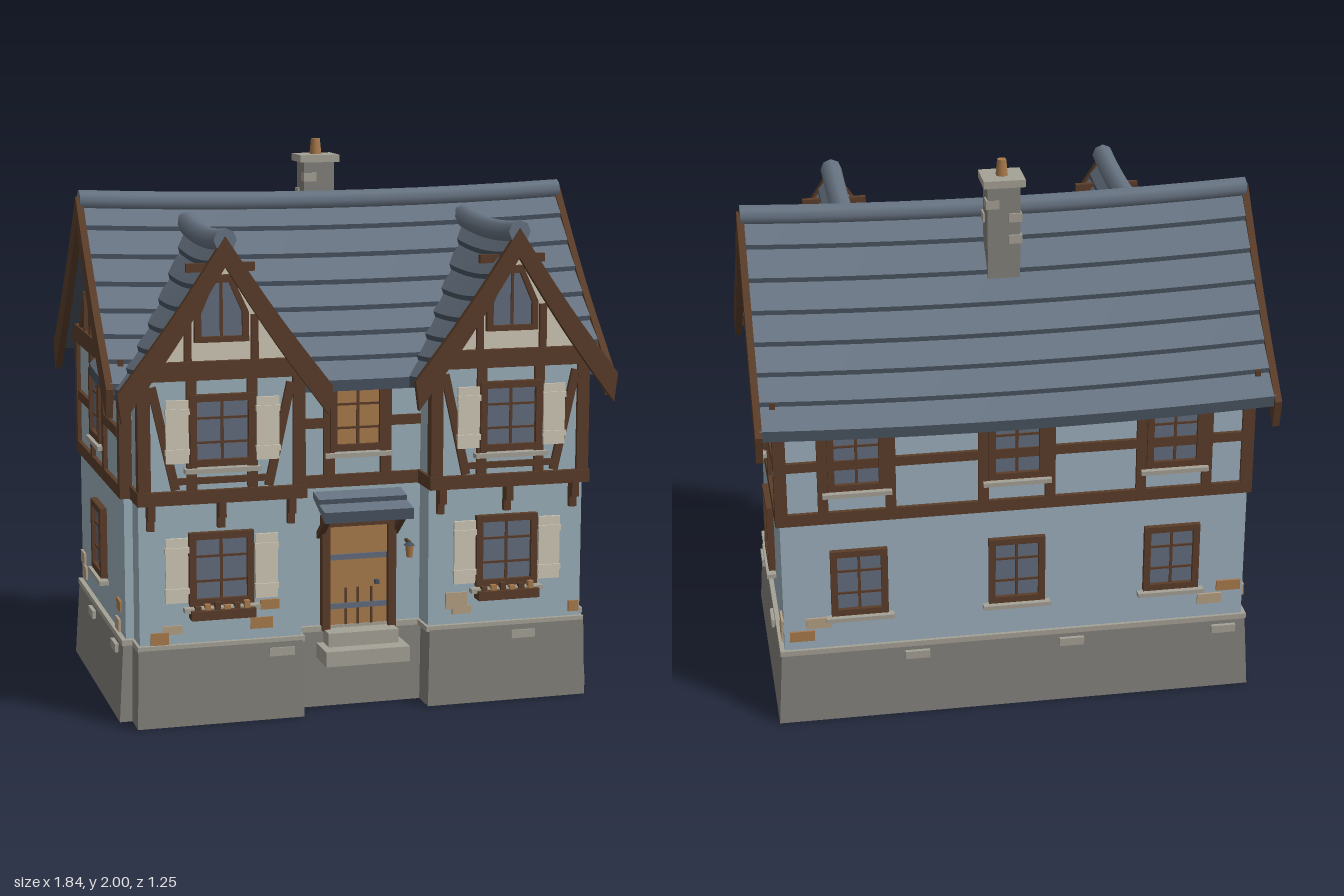
import * as THREE from 'three';

const mat = (name, color, side = THREE.FrontSide) => {
  const m = new THREE.MeshStandardMaterial({ color, side });
  m.name = name;
  return m;
};
const M = {
  wall: mat('paleBlueWall', 0x9bafbb), stone: mat('stone', 0x83817b, THREE.DoubleSide),
  paleStone: mat('paleStone', 0xa5a196), timber: mat('timber', 0x5a3d29),
  plaster: mat('creamPlaster', 0xcfc7b7), slate: mat('slate', 0x687483),
  darkSlate: mat('darkSlate', 0x47525f), glass: mat('glass', 0x626d7e),
  wood: mat('warmWood', 0xa87a4c), sand: mat('sandBrick', 0xb5a084),
};

function add(parent, name, geo, material, x = 0, y = 0, z = 0) {
  const m = new THREE.Mesh(geo, material);
  m.name = name;
  m.position.set(x, y, z);
  parent.add(m);
  return m;
}
// Box given by its extents
const box = (p, name, material, x0, x1, y0, y1, z0, z1) =>
  add(p, name, new THREE.BoxGeometry(x1 - x0, y1 - y0, z1 - z0), material, (x0 + x1) / 2, (y0 + y1) / 2, (z0 + z1) / 2);
// Slanted timber in a facade plane
function strut(p, xa, ya, xb, yb, w = 0.03, d = 0.014) {
  const s = add(p, 'brace', new THREE.BoxGeometry(w, Math.hypot(xb - xa, yb - ya), d), M.timber, (xa + xb) / 2, (ya + yb) / 2, d / 2);
  s.rotation.z = -Math.atan2(xb - xa, yb - ya);
}
// Group whose local +z looks out of a wall
function facade(p, name, x, z, turn) {
  const g = new THREE.Group();
  g.name = name;
  g.position.set(x, 0, z);
  g.rotation.y = turn;
  p.add(g);
  return g;
}
const bar = (p, x0, x1, y0, y1, d = 0.015) => box(p, 'timberBar', M.timber, x0, x1, y0, y1, 0, d);
const pair = (p, x0, x1, y0, y1, d) => { bar(p, x0, x1, y0, y1, d); bar(p, -x1, -x0, y0, y1, d); };

// Framed window, optionally with sill and shutters
function windowUnit(p, x, y, w, h, { glass = M.glass, sill = true, shutters = false } = {}) {
  const g = new THREE.Group();
  g.name = 'window';
  g.position.set(x, y, 0);
  p.add(g);
  const a = w / 2, b = h / 2, f = 0.024;
  box(g, 'pane', glass, -a + f, a - f, -b + f, b - f, 0.002, 0.009);
  pair(g, a - f, a, -b, b, 0.025);
  bar(g, -a, a, b - f, b, 0.025);
  bar(g, -a, a, -b, -b + f, 0.025);
  bar(g, -0.005, 0.005, -b + f, b - f, 0.014);
  for (const k of [-0.17, 0.17]) bar(g, -a + f, a - f, k * h - 0.004, k * h + 0.004, 0.014);
  if (sill) box(g, 'sill', M.paleStone, -a - 0.02, a + 0.02, -b - 0.022, -b - 0.006, 0, 0.034);
  if (shutters) for (const s of [-1, 1]) {
    const c = s * (a + 0.045);
    box(g, 'shutter', M.plaster, c - 0.04, c + 0.04, -b + 0.015, b - 0.015, 0.014, 0.024);
    for (const k of [-0.28, 0.28]) box(g, 'shutterBatten', M.plaster, c - 0.043, c + 0.043, k * h - 0.01, k * h + 0.01, 0.014, 0.03);
  }
}

// Concave roof section, t = 0 at ridge and 1 at eave
const sectionY = (r, t) => r.top - r.drop * t - r.sag * Math.sin(Math.PI * Math.min(t, 1));
// One slope of overlapping slate courses, bowed along its length
function slope(p, name, r, x, z, turn) {
  const g = facade(p, name, x, z, turn);
  for (let i = 0; i < r.courses; i++) {
    const geo = new THREE.BoxGeometry(r.len, 1, 1, 10, 1, 1), a = geo.attributes.position;
    for (let k = 0; k < a.count; k++) {
      const u = a.getX(k), low = a.getZ(k) > 0, t = (i + (low ? 1 : 0)) / r.courses;
      const lift = a.getY(k) > 0 ? (low ? 0.017 : 0) : -0.022;
      a.setXYZ(k, u, sectionY(r, t) + lift + r.bow * (2 * u / r.len) ** 2, t * r.run);
    }
    geo.computeVertexNormals();
    add(g, 'slateCourse', geo, [M.slate, M.slate, M.slate, M.darkSlate, M.darkSlate, M.slate]);
  }
}
// Rounded ridge capping
function ridge(p, r, radius, x, z, turn) {
  const geo = new THREE.CylinderGeometry(radius, radius, r.len + 0.01, 8, 10).rotateZ(Math.PI / 2);
  const a = geo.attributes.position;
  for (let k = 0; k < a.count; k++) a.setY(k, a.getY(k) + r.bow * (2 * a.getX(k) / r.len) ** 2);
  add(facade(p, 'ridge', x, z, turn), 'ridgeCap', geo, M.slate, 0, r.top + 0.005, 0);
}
// Chevron of verge boards across a gable end
function verge(p, r, width, x, z, turn) {
  const upper = [], lower = [];
  for (let i = -8; i <= 8; i++) {
    const t = Math.abs(i) / 8 * 1.03, d = Math.sign(i) * t * r.run, y = sectionY(r, t) + r.bow;
    upper.push(new THREE.Vector2(d, y + 0.018));
    lower.unshift(new THREE.Vector2(d * 0.965, y - width));
  }
  const geo = new THREE.ExtrudeGeometry(new THREE.Shape([...upper, ...lower]), { depth: 0.025, bevelEnabled: false });
  add(facade(p, 'verge', x, z, turn), 'vergeBoards', geo, M.timber);
}
function polygon(p, name, material, pts, depth, z = 0, hole) {
  const s = new THREE.Shape(pts.map(q => new THREE.Vector2(...q)));
  if (hole) s.holes.push(new THREE.Path(hole.map(q => new THREE.Vector2(...q))));
  return add(p, name, new THREE.ExtrudeGeometry(s, { depth, bevelEnabled: false }), material, 0, 0, z);
}
// Open tapered stone base
function base(p, x, z, w, d) {
  const q = Math.SQRT1_2;
  const geo = new THREE.CylinderGeometry(q * 0.98, q, 1, 4, 1, true).rotateY(Math.PI / 4).scale(w, 0.28, d).toNonIndexed();
  geo.computeVertexNormals();
  add(p, 'foundation', geo, M.stone, x, 0.14, z);
}

export function createModel() {
  const house = new THREE.Group();
  house.name = 'house';
  const PI = Math.PI, CZ = -0.05, WX = 0.525;
  const mainRoof = { len: 1.81, run: 0.56, top: 1.775, drop: 0.59, sag: 0.025, bow: 0.022, courses: 7 };
  const wingRoof = { len: 0.61, run: 0.365, top: 1.69, drop: 0.51, sag: 0.015, bow: 0.02, courses: 7 };

  // Main body
  base(house, 0, CZ, 1.75, 0.95);
  box(house, 'plinthCap', M.paleStone, -0.862, 0.862, 0.275, 0.295, -0.517, 0.417);
  box(house, 'groundWall', M.wall, -0.845, 0.845, 0.29, 0.8, -0.505, 0.4);
  box(house, 'jettySill', M.timber, -0.86, 0.86, 0.8, 0.845, -0.515, 0.41);
  box(house, 'upperWall', M.wall, -0.845, 0.845, 0.845, 1.235, -0.5, 0.395);
  for (const x of [-0.838, 0.838]) for (const z of [-0.493, 0.388])
    box(house, 'cornerPost', M.timber, x - 0.022, x + 0.022, 0.84, 1.235, z - 0.022, z + 0.022);
  const attic = facade(house, 'attic', 0, CZ, PI / 2);
  polygon(attic, 'gablePlaster', M.plaster, [[-0.41, 1.235], [0.41, 1.235], [0, 1.71]], 1.68, -0.84);

  // Main roof
  slope(house, 'frontRoof', mainRoof, 0, CZ, 0);
  slope(house, 'backRoof', mainRoof, 0, CZ, PI);
  ridge(house, mainRoof, 0.036, 0, CZ, 0);

  // Side gables
  for (const s of [-1, 1]) {
    verge(house, mainRoof, 0.085, s * 0.897, CZ, s * PI / 2);
    const g = facade(house, 'sideFacade', s * 0.845, CZ, s * PI / 2);
    pair(g, 0.105, 0.143, 0.84, 1.24);
    pair(g, 0.143, 0.4, 1.01, 1.045);
    bar(g, -0.49, 0.49, 1.23, 1.295, 0.02);
    pair(g, 0.1, 0.14, 1.29, 1.56);
    pair(g, 0.23, 0.26, 1.29, 1.44);
    bar(g, -0.14, 0.14, 1.575, 1.61);
    bar(g, -0.014, 0.014, 1.6, 1.7);
    for (const m of [-1, 1]) strut(g, m * 0.35, 1.28, m * 0.26, 1.4);
    windowUnit(g, 0, 1.055, 0.21, 0.25);
    windowUnit(g, 0, 1.47, 0.16, 0.2, { sill: false });
    windowUnit(g, 0, 0.56, 0.205, 0.26);
    for (const [u, y, w, h, m] of [[-0.35, 0.395, 0.07, 0.04, M.wood], [-0.32, 0.31, 0.07, 0.06, M.sand], [0.38, 0.34, 0.08, 0.05, M.sand],
      [0.41, 0.39, 0.08, 0.045, M.sand]])
      box(g, 'brick', m, s * u - w / 2, s * u + w / 2, y - h / 2, y + h / 2, 0, 0.008);
    for (const u of [-0.34, 0.13]) box(g, 'baseStone', M.paleStone, s * u - 0.045, s * u + 0.045, 0.23, 0.26, 0, 0.028);
  }

  // Back
  const back = facade(house, 'backFacade', 0, -0.5, PI);
  bar(back, -0.85, 0.85, 1.195, 1.235);
  bar(back, -0.83, 0.83, 1.01, 1.045);
  for (const x of [-0.57, 0, 0.57]) {
    for (const s of [-1, 1]) bar(back, x + s * 0.12 - 0.018, x + s * 0.12 + 0.018, 0.84, 1.2);
    windowUnit(back, x, 1.055, 0.205, 0.25);
    windowUnit(back, x, 0.56, 0.205, 0.26);
    box(back, 'baseStone', M.paleStone, x + 0.16, x + 0.25, 0.23, 0.26, 0, 0.03);
  }
  for (const [x, y, m] of [[-0.72, 0.4, M.sand], [-0.78, 0.35, M.wood], [0.72, 0.37, M.sand], [0.79, 0.42, M.wood]])
    box(back, 'brick', m, x - 0.045, x + 0.045, y - 0.02, y + 0.02, 0, 0.013);

  // Front wings
  for (const s of [-1, 1]) {
    const wing = facade(house, 'wing', s * WX, 0, 0);
    base(wing, 0.005 * s, 0.265, 0.6, 0.53);
    box(wing, 'plinthCap', M.paleStone, -0.3, 0.3, 0.274, 0.294, 0, 0.522);
    box(wing, 'groundWall', M.wall, -0.29, 0.29, 0.29, 0.8, 0, 0.505);
    box(wing, 'jettySill', M.timber, -0.3, 0.3, 0.799, 0.846, 0, 0.555);
    box(wing, 'upperWall', M.wall, -0.288, 0.288, 0.845, 1.235, 0, 0.535);
    polygon(wing, 'gablePlaster', M.plaster, [[-0.275, 1.235], [0.275, 1.235], [0, 1.65]], 0.535);
    const g = facade(wing, 'wingFacade', 0, 0.535, 0);
    for (const m of [-1, 1]) {
      box(wing, 'cornerPost', M.timber, m * 0.274 - 0.022, m * 0.274 + 0.022, 0.84, 1.235, 0.506, 0.55);
      strut(g, m * 0.245, 1.21, m * 0.165, 0.85);
      box(wing, 'purlinEnd', M.timber, m * 0.085 - 0.035, m * 0.085 + 0.035, 1.6, 1.63, 0.525, 0.545);
      slope(wing, 'wingSlope', wingRoof, 0, 0.305, m * PI / 2);
    }
    pair(g, 0.09, 0.125, 0.84, 1.24);
    bar(g, -0.17, 0.17, 0.868, 0.89);
    bar(g, -0.29, 0.29, 1.23, 1.295, 0.02);
    pair(g, 0.105, 0.13, 1.29, 1.45);
    const outline = [[-0.095, 1.36], [0.095, 1.36], [0.095, 1.46], [0.035, 1.59], [-0.035, 1.59], [-0.095, 1.46]];
    const inner = outline.map(([x, y]) => [x * 0.76, 1.46 + (y - 1.46) * 0.8]);
    polygon(g, 'gableWindowFrame', M.timber, outline, 0.022, 0, inner);
    polygon(g, 'gablePane', M.glass, inner, 0.008);
    bar(g, -0.005, 0.005, 1.38, 1.57, 0.014);
    windowUnit(g, 0, 1.055, 0.23, 0.25, { shutters: true });
    verge(wing, wingRoof, 0.085, 0, 0.595, 0);
    ridge(wing, wingRoof, 0.04, 0, 0.305, PI / 2);
    // Ground floor window, flower box and corbels
    const low = facade(wing, 'wingGroundFacade', 0, 0.505, 0);
    windowUnit(low, 0, 0.56, 0.23, 0.26, { shutters: true });
    box(low, 'flowerBox', M.timber, -0.115, 0.115, 0.385, 0.418, 0, 0.055);
    for (let i = 0; i < 6; i++) box(low, 'plant', i % 2 ? M.wood : M.timber, -0.1 + i * 0.035, -0.08 + i * 0.035, 0.418, 0.432 + (i % 3) * 0.006, 0.02, 0.045);
    for (const x of [-0.25, 0, 0.25]) {
      box(low, 'corbel', M.timber, x - 0.013, x + 0.013, 0.745, 0.8, 0, 0.045);
      box(low, 'corbelFoot', M.timber, x - 0.013, x + 0.013, 0.705, 0.745, 0, 0.022);
    }
    box(low, 'baseStone', M.paleStone, s < 0 ? 0.17 : 0.02, s < 0 ? 0.26 : 0.11, 0.23, 0.26, 0, 0.026);
  }
  // Exposed bricks on the front
  for (const [x, y, w, h, m] of [[-0.745, 0.315, 0.065, 0.045, M.wood], [-0.7, 0.345, 0.07, 0.03, M.sand], [-0.38, 0.35, 0.08, 0.04, M.wood],
    [-0.35, 0.415, 0.07, 0.035, M.wood], [0.34, 0.38, 0.08, 0.06, M.sand], [0.36, 0.345, 0.07, 0.03, M.sand], [0.79, 0.33, 0.04, 0.04, M.wood]])
    box(house, 'brick', m, x - w / 2, x + w / 2, y - h / 2, y + h / 2, 0.503, 0.512);

  // Centre bay: lit window above the door
  const bay = facade(house, 'centreBay', 0, 0.395, 0);
  pair(bay, 0.085, 0.125, 0.84, 1.21);
  pair(bay, 0.125, 0.235, 1.015, 1.05);
  bar(bay, -0.23, 0.23, 1.175, 1.2);
  windowUnit(bay, 0, 1.055, 0.205, 0.25, { glass: M.wood });

  // Door with frame, boards and iron bands
  const door = facade(house, 'door', 0, 0.4, 0);
  box(door, 'doorLeaf', M.wood, -0.115, 0.115, 0.28, 0.67, 0, 0.012);
  pair(door, 0.108, 0.137, 0.28, 0.7, 0.035);
  bar(door, -0.137, 0.137, 0.66, 0.7, 0.035);
  for (const x of [-0.045, 0, 0.05]) box(door, 'boardGap', M.timber, x - 0.004, x + 0.004, 0.29, 0.43, 0.012, 0.016);
  for (const y of [0.365, 0.545]) box(door, 'ironBand', M.glass, -0.105, 0.105, y - 0.01, y + 0.01, 0.012, 0.019);
  box(door, 'handle', M.darkSlate, 0.06, 0.075, 0.44, 0.455, 0.012, 0.03);
  box(door, 'lowerStep', M.paleStone, -0.155, 0.155, 0.18, 0.235, -0.02, 0.15);
  box(door, 'upperStep', M.paleStone, -0.13, 0.13, 0.235, 0.285, -0.02, 0.09);
  // Canopy on brackets
  slope(house, 'canopy', { len: 0.325, run: 0.16, top: 0.785, drop: 0.06, sag: 0, bow: 0, courses: 2 }, 0, 0.4, 0);
  box(door, 'canopyBeam', M.timber, -0.15, 0.15, 0.7, 0.722, 0.1, 0.135);
  for (const s of [-1, 1]) {
    const b = add(door, 'canopyBracket', new THREE.BoxGeometry(0.022, 0.022, 0.15), M.timber, s * 0.14, 0.67, 0.06);
    b.rotation.x = -0.65;
  }
  // Lantern
  box(door, 'lanternArm', M.timber, 0.178, 0.188, 0.585, 0.595, 0, 0.05);
  add(door, 'lantern', new THREE.CylinderGeometry(0.016, 0.011, 0.045, 6), M.wood, 0.183, 0.558, 0.045);
  add(door, 'lanternCap', new THREE.CylinderGeometry(0.005, 0.022, 0.014, 6), M.darkSlate, 0.183, 0.587, 0.045);

  // Chimney
  const chimney = facade(house, 'chimney', 0, -0.172, 0);
  box(chimney, 'stack', M.stone, -0.058, 0.058, 1.5, 1.915, -0.052, 0.052);
  box(chimney, 'cap', M.paleStone, -0.074, 0.074, 1.915, 1.942, -0.066, 0.066);
  add(chimney, 'pot', new THREE.CylinderGeometry(0.017, 0.023, 0.058, 6), M.wood, 0, 1.971, 0);
  for (const [x, y, z] of [[0.04, 1.78, 0.035], [0.04, 1.85, -0.03], [-0.04, 1.8, -0.035], [-0.04, 1.72, -0.035], [-0.035, 1.86, 0.035]])
    box(chimney, 'stackStone', M.paleStone, x - 0.024, x + 0.024, y - 0.016, y + 0.016, z - 0.023, z + 0.023);
  return house;
}
